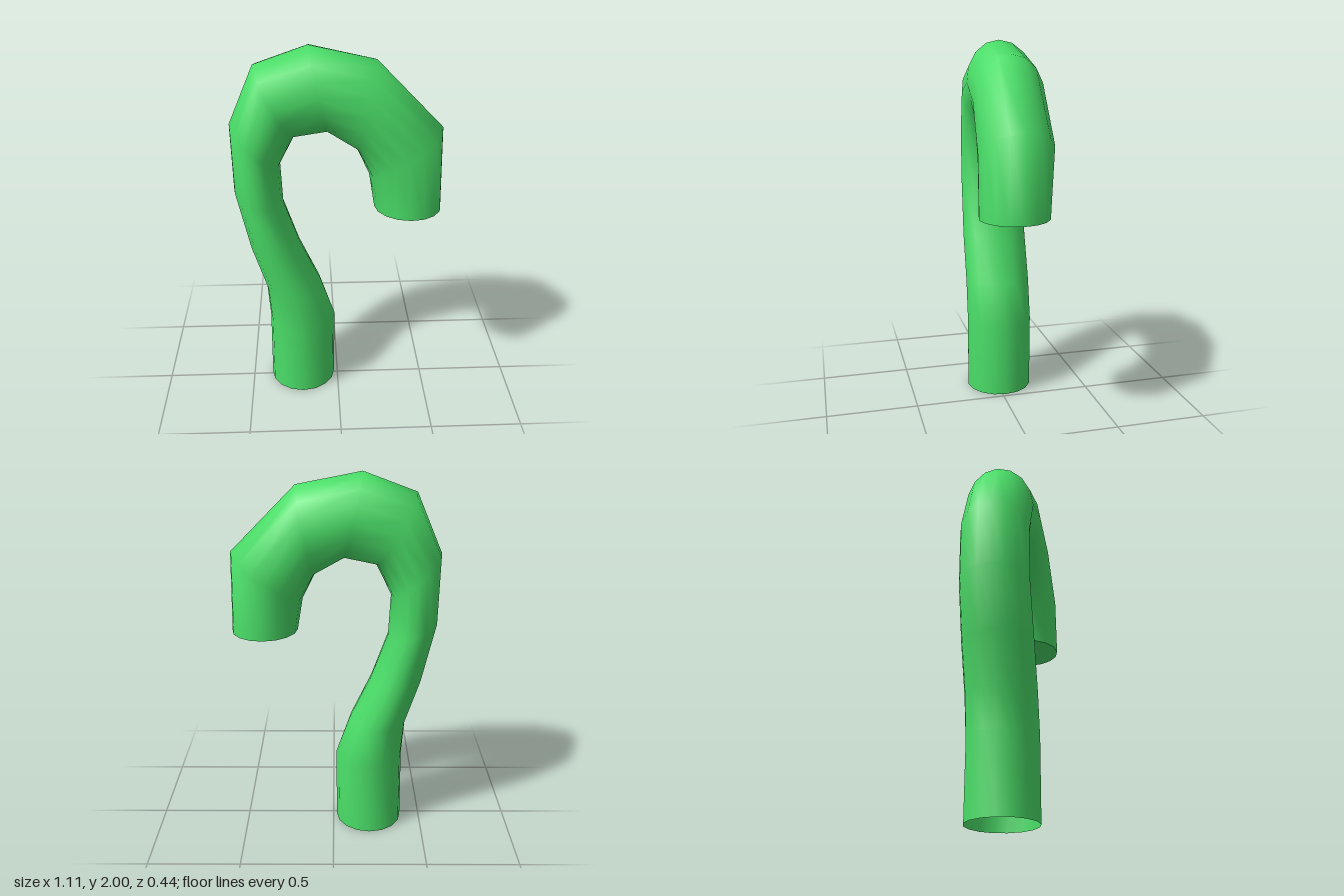
import * as THREE from 'three';

const SIDES = 16;

// Each ring: outer x, y, inner x, y, centre z, half depth
const RINGS = [
  [-0.39, 0, -0.02, 0, -0.02, 0.185],
  [-0.385, 0.42, -0.015, 0.42, -0.02, 0.185],
  [-0.4, 0.64, -0.09, 0.64, -0.023, 0.185],
  [-0.48, 0.9, -0.2, 0.88, -0.028, 0.185],
  [-0.55, 1.23, -0.29, 1.14, -0.035, 0.183],
  [-0.555, 1.59, -0.3, 1.37, -0.035, 0.183],
  [-0.42, 1.9, -0.22, 1.53, -0.025, 0.185],
  [-0.145, 2, -0.05, 1.56, -0.01, 0.187],
  [0.195, 1.93, 0.1, 1.465, 0.01, 0.187],
  [0.54, 1.58, 0.165, 1.33, 0.028, 0.19],
  [0.55, 1.14, 0.195, 1.145, 0.04, 0.18],
];

// Points around one elliptical ring, starting on the outside of the bend
function ringPoints([ox, oy, ix, iy, z, depth]) {
  const points = [];
  for (let j = 0; j < SIDES; j++) {
    const a = (j / SIDES) * Math.PI * 2;
    const t = Math.cos(a) / 2;
    points.push(
      (ox + ix) / 2 + (ox - ix) * t,
      (oy + iy) / 2 + (oy - iy) * t,
      z + Math.sin(a) * depth
    );
  }
  return points;
}

function makeGeometry(positions, index) {
  const g = new THREE.BufferGeometry();
  g.setAttribute('position', new THREE.Float32BufferAttribute(positions, 3));
  g.setIndex(index);
  g.computeVertexNormals();
  return g;
}

export function createModel() {
  const group = new THREE.Group();
  group.name = 'bentPipe';
  const material = new THREE.MeshStandardMaterial({ color: 0x4ade68, side: THREE.DoubleSide });

  // Smooth pipe wall, open at the foot
  const index = [];
  for (let i = 0; i < RINGS.length - 1; i++) {
    for (let j = 0; j < SIDES; j++) {
      const k = (j + 1) % SIDES;
      const a = i * SIDES + j, b = i * SIDES + k;
      index.push(a, b, a + SIDES, b, b + SIDES, a + SIDES);
    }
  }
  const pipe = new THREE.Mesh(makeGeometry(RINGS.flatMap(ringPoints), index), material);
  pipe.name = 'pipe';

  // Flat cap closing the downturned end
  const end = RINGS[RINGS.length - 1];
  const capPositions = [...ringPoints(end), (end[0] + end[2]) / 2, (end[1] + end[3]) / 2, end[4]];
  const capIndex = [];
  for (let j = 0; j < SIDES; j++) capIndex.push(SIDES, j, (j + 1) % SIDES);
  const cap = new THREE.Mesh(makeGeometry(capPositions, capIndex), material);
  cap.name = 'endCap';

  group.add(pipe, cap);
  return group;
}
